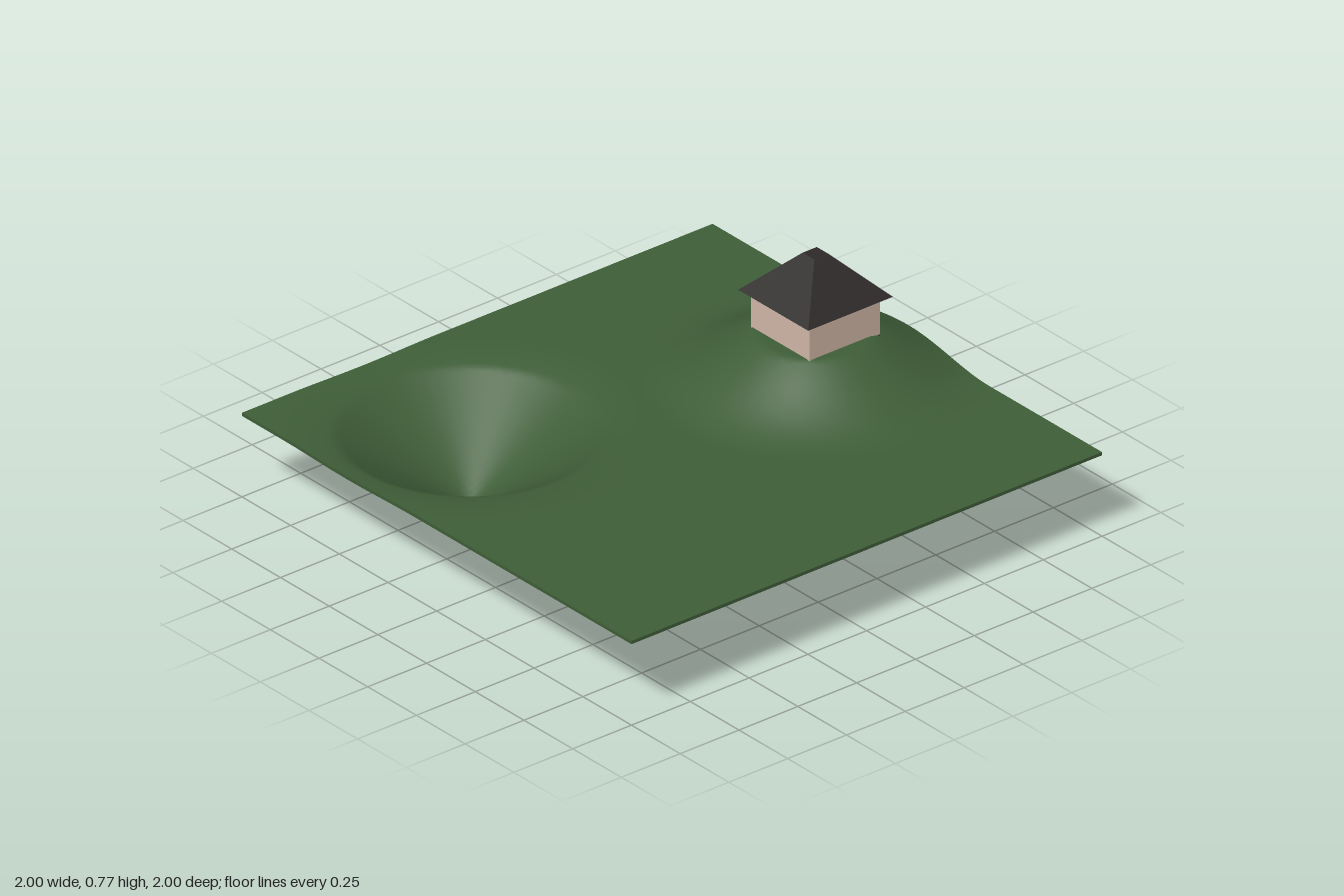
import * as THREE from 'three';

const GROUND = 0.315, THICK = 0.012;
const HILL = { x: 0, z: -0.6, radius: 0.58, peak: 0.23, plateau: 0.17 };
const PIT = { x: -0.46, z: 0.48, radius: 0.44, depth: 0.303, lip: 0.022, lipRadius: 0.62 };
const HOUSE_Z = -0.61;

// Rounded hill cut off to a level building plot
function hillHeight(x, z) {
  const r = Math.hypot(x - HILL.x, z - HILL.z);
  if (r >= HILL.radius) return 0;
  return Math.min(HILL.plateau, HILL.peak * 0.5 * (1 + Math.cos(Math.PI * r / HILL.radius)));
}

// Conical pit with a soft lip
function pitDepth(x, z) {
  const r = Math.hypot(x - PIT.x, z - PIT.z);
  if (r >= PIT.lipRadius) return 0;
  if (r >= PIT.radius) {
    const t = (PIT.lipRadius - r) / (PIT.lipRadius - PIT.radius);
    return PIT.lip * t * t;
  }
  return PIT.depth + (PIT.lip - PIT.depth) * r / PIT.radius;
}

function add(group, name, geometry, material, y, z) {
  const mesh = new THREE.Mesh(geometry, material);
  mesh.name = name;
  mesh.position.set(0, y, z);
  group.add(mesh);
  return mesh;
}

export function createModel() {
  const model = new THREE.Group();
  model.name = 'hillHouse';
  const grass = new THREE.MeshStandardMaterial({ color: 0x3f5e38 });
  const plaster = new THREE.MeshStandardMaterial({ color: 0xd2b8a8 });
  const slate = new THREE.MeshStandardMaterial({ color: 0x2e2a2a, flatShading: true });

  // Terrain: a thin sheet raised into the hill and sunk into the pit
  const land = new THREE.BoxGeometry(2, THICK, 2, 100, 1, 100);
  const p = land.attributes.position;
  for (let i = 0; i < p.count; i++) {
    const x = p.getX(i), z = p.getZ(i);
    p.setY(i, p.getY(i) + hillHeight(x, z) - pitDepth(x, z));
  }
  land.computeVertexNormals();
  add(model, 'terrain', land, grass, GROUND - THICK / 2, 0);

  // House: floor slab sunk in the plot, walls and hipped roof
  const house = new THREE.Group();
  house.name = 'house';
  model.add(house);
  add(house, 'floor', new THREE.BoxGeometry(0.3, 0.02, 0.3), slate, 0.468, HOUSE_Z);
  add(house, 'walls', new THREE.BoxGeometry(0.3, 0.145, 0.3), plaster, 0.5505, HOUSE_Z);

  // Square frustum roof with a small flat top
  const roof = new THREE.CylinderGeometry(0.03 * Math.SQRT2, 0.18 * Math.SQRT2, 0.15, 4);
  roof.rotateY(Math.PI / 4);
  add(house, 'roof', roof, slate, 0.695, HOUSE_Z);

  return model;
}
